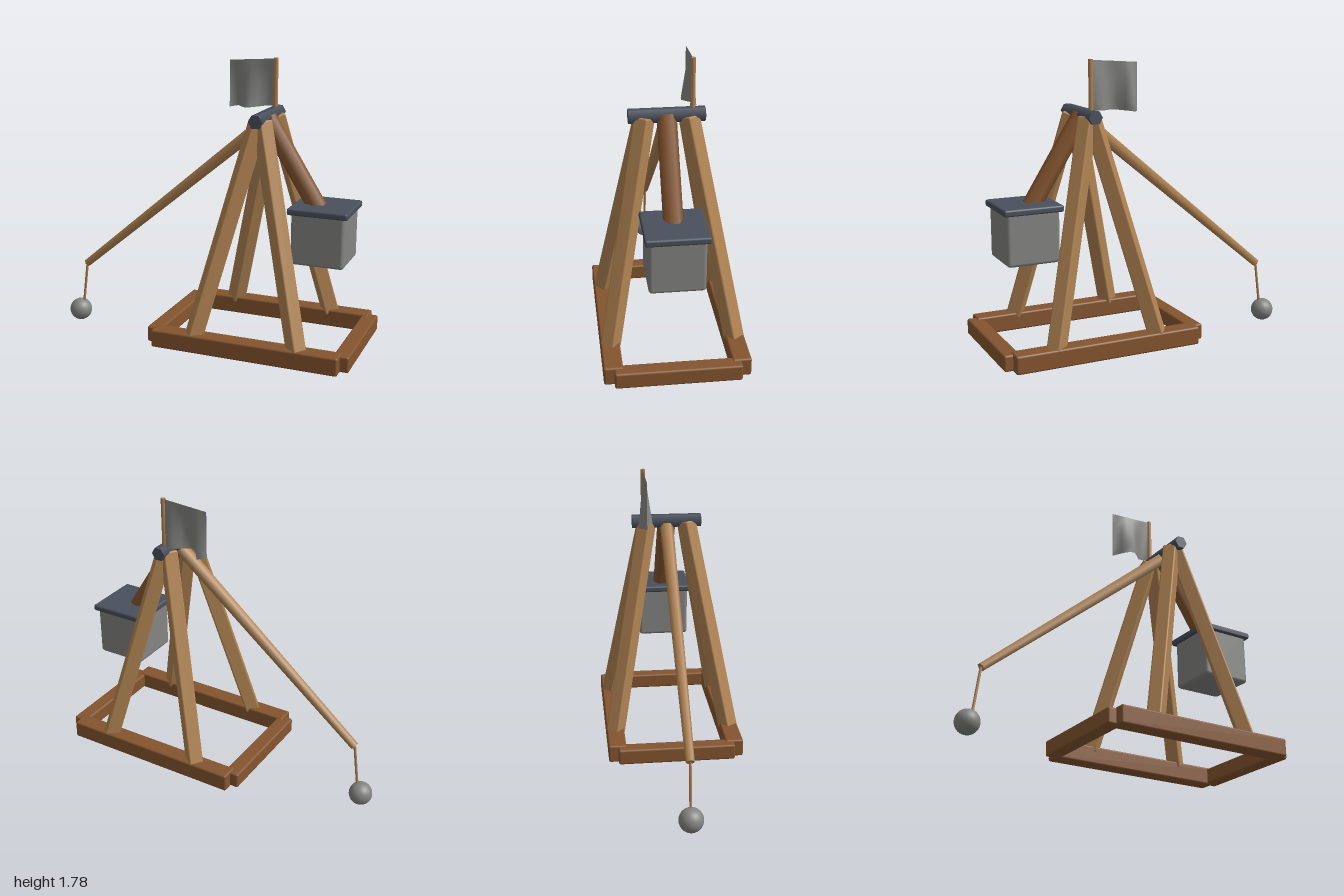
import * as THREE from 'three';
import { RoundedBoxGeometry } from 'three/addons/geometries/RoundedBoxGeometry.js';

const paint = (name, color, extra = {}) => {
  const m = new THREE.MeshStandardMaterial({ color, ...extra });
  m.name = name;
  return m;
};

export function createModel() {
  const darkWood = paint('dark wood', 0x85552f);
  const lightWood = paint('light wood', 0xb08352);
  const stone = paint('grey stone', 0x848482);
  const iron = paint('slate iron', 0x4a505c);
  const cloth = paint('grey cloth', 0x868684, { side: THREE.DoubleSide });

  const model = new THREE.Group();
  model.name = 'trebuchet';
  const add = (name, geometry, material, x = 0, y = 0, z = 0) => {
    const mesh = new THREE.Mesh(geometry, material);
    mesh.name = name;
    mesh.position.set(x, y, z);
    model.add(mesh);
    return mesh;
  };
  const block = (w, h, d, r) => new RoundedBoxGeometry(w, h, d, 2, r);

  // Tapered pole between two points lying in one x-y plane
  const pole = (name, [x1, y1], [x2, y2], r1, r2, material, z = 0, sides = 6) => {
    const dx = x2 - x1, dy = y2 - y1;
    const geo = new THREE.CylinderGeometry(r2, r1, Math.hypot(dx, dy), sides);
    const mesh = add(name, geo, material, (x1 + x2) / 2, (y1 + y2) / 2, z);
    mesh.rotation.z = Math.atan2(-dx, dy);
    return mesh;
  };

  const pivotX = 0.365, pivotY = 1.457;

  // Ground frame
  for (const s of [-1, 1]) {
    add('sideBeam', block(1.155, 0.11, 0.11, 0.012), darkWood, pivotX, 0.133, s * 0.364);
    add('crossBeam', block(0.095, 0.097, 0.72, 0.012), darkWood, pivotX + s * 0.582, 0.133, 0);
  }

  // Four leaning legs, each turned to face along its lean
  for (const sx of [-1, 1]) {
    for (const sz of [-1, 1]) {
      const foot = new THREE.Vector3(pivotX + sx * 0.32, 0.165, sz * 0.362);
      const head = new THREE.Vector3(pivotX + sx * 0.012, 1.45, sz * 0.125);
      const axis = head.clone().sub(foot);
      const length = axis.length();
      axis.normalize();
      const across = new THREE.Vector3(axis.z, 0, -axis.x).normalize();
      const depth = across.clone().cross(axis);
      const leg = add('leg', block(0.088, length, 0.092, 0.01), lightWood);
      leg.position.copy(foot).add(head).multiplyScalar(0.5);
      leg.quaternion.setFromRotationMatrix(new THREE.Matrix4().makeBasis(across, axis, depth));
    }
  }

  // Hexagonal axle along z
  const axle = new THREE.CylinderGeometry(0.043, 0.043, 0.434, 6, 1, false, Math.PI / 2);
  axle.rotateX(Math.PI / 2);
  add('axle', axle, iron, pivotX, pivotY, 0);

  // Throwing arm and the thick counterweight arm
  pole('throwingArm', [-0.868, 0.402], [pivotX, 1.435], 0.026, 0.042, lightWood);
  pole('weightArm', [0.70, 0.915], [pivotX, 1.45], 0.057, 0.057, darkWood);

  // Sling and shot
  pole('slingRope', [-0.905, 0.11], [-0.868, 0.402], 0.008, 0.008, lightWood);
  add('shot', new THREE.SphereGeometry(0.072, 24, 16), stone, -0.928, 0.074, 0);

  // Counterweight box with lid
  add('counterweight', block(0.32, 0.32, 0.32, 0.02), stone, 0.73, 0.78, 0);
  add('counterweightLid', block(0.36, 0.04, 0.36, 0.012), iron, 0.73, 0.942, 0);

  // Flagpole standing on the back of the axle
  const flagZ = -0.146;
  pole('flagpole', [pivotX, 1.46], [pivotX, 1.785], 0.014, 0.014, lightWood, flagZ);

  // Flag: straight along the top, rippling along the bottom
  const ripple = [0, -0.026, -0.024, 0.012, 0.044, 0.042, 0, -0.054, 0];
  const flag = new THREE.PlaneGeometry(1, 1, 8, 6);
  const p = flag.attributes.position;
  for (let i = 0; i < p.count; i++) {
    const u = 0.5 - p.getX(i), v = 0.5 - p.getY(i);
    p.setXYZ(i, pivotX - u * 0.293, 1.78 - u * 0.02 - v * 0.284,
      flagZ + ripple[Math.round(u * 8)] * v);
  }
  flag.computeVertexNormals();
  add('flag', flag, cloth);

  return model;
}
